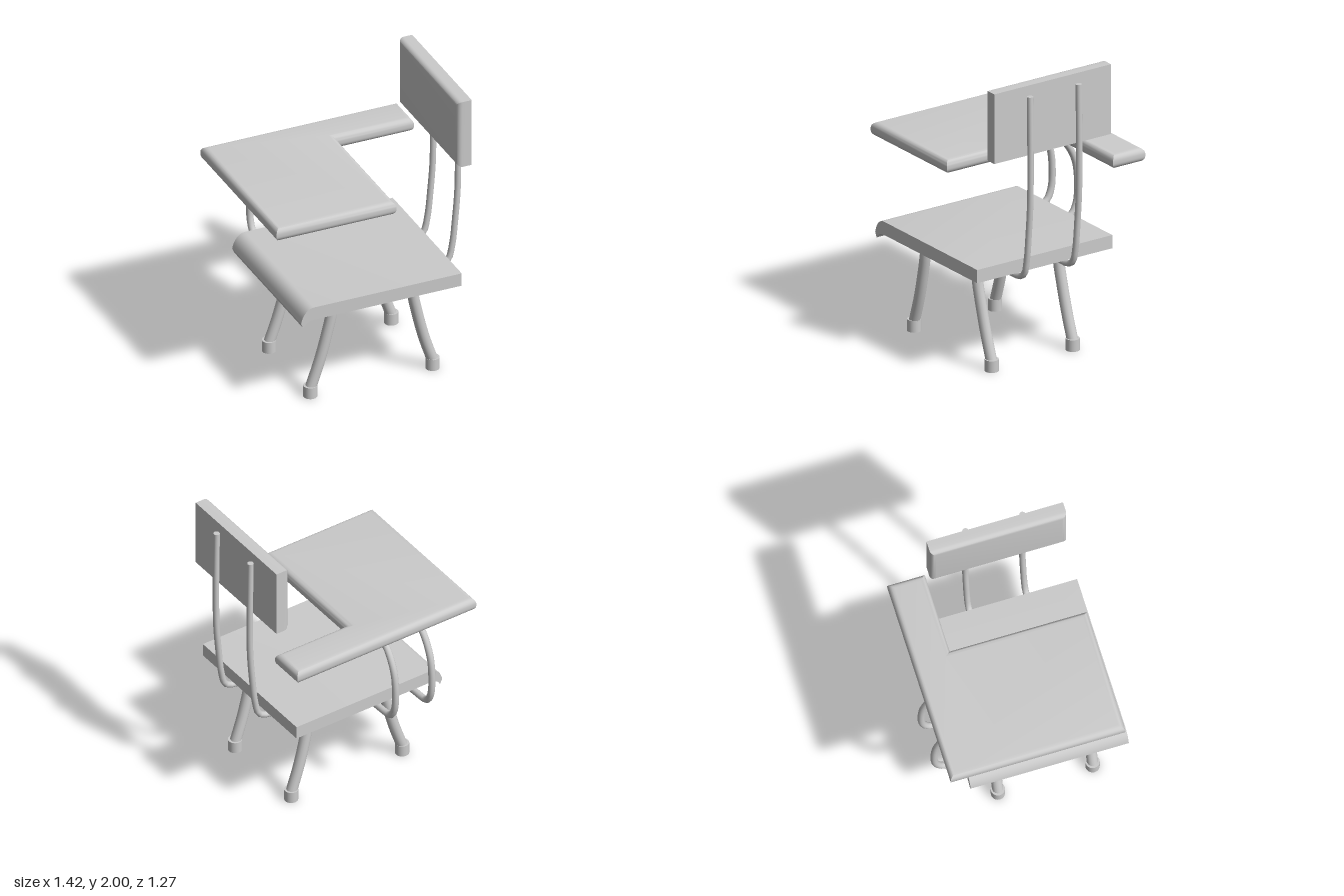
import * as THREE from 'three';
import { toCreasedNormals } from 'three/addons/utils/BufferGeometryUtils.js';

const material = new THREE.MeshStandardMaterial({ color: 0xcccccc });

function part(parent, name, geometry) {
  const mesh = new THREE.Mesh(geometry, material);
  mesh.name = name;
  parent.add(mesh);
  return mesh;
}

// Round bar along a smooth path, closed by a disc at each end
function bar(name, points, radius, segments = 28) {
  const group = new THREE.Group();
  group.name = name;
  const curve = new THREE.CatmullRomCurve3(points.map(p => new THREE.Vector3(...p)), false, 'centripetal');
  part(group, name + 'Tube', new THREE.TubeGeometry(curve, segments, radius, 14));
  for (const t of [0, 1]) {
    const cap = part(group, name + 'Cap', new THREE.CircleGeometry(radius, 14));
    cap.position.copy(curve.getPoint(t));
    const outward = curve.getTangent(t).multiplyScalar(t ? 1 : -1);
    cap.quaternion.setFromUnitVectors(new THREE.Vector3(0, 0, 1), outward);
  }
  return group;
}

function polygon(points) {
  return new THREE.Shape(points.map(p => new THREE.Vector2(...p)));
}

// Slab whose edges are rounded inward from its outline
function roundedSlab(shape, thickness, r) {
  return new THREE.ExtrudeGeometry(shape, {
    depth: thickness - 2 * r, bevelEnabled: true, bevelThickness: r,
    bevelSize: r, bevelOffset: -r, bevelSegments: 6,
  });
}

export function createModel() {
  const model = new THREE.Group();
  model.name = 'deskChair';

  // Seat with a front lip that curls down
  const profile = new THREE.Shape();
  profile.moveTo(0.56, 0.682);
  profile.lineTo(0.56, 0.773);
  profile.lineTo(-0.48, 0.773);
  profile.bezierCurveTo(-0.53, 0.77, -0.56, 0.73, -0.572, 0.672);
  profile.lineTo(-0.557, 0.638);
  profile.quadraticCurveTo(-0.53, 0.682, -0.48, 0.682);
  const seat = new THREE.ExtrudeGeometry(profile, { depth: 1.06, bevelEnabled: false, curveSegments: 10 });
  part(model, 'seat', toCreasedNormals(seat, 0.6)).position.z = -0.425;

  // L-shaped writing top with an arm rest
  const outline = polygon([
    [-0.715, -0.603], [0.675, -0.603], [0.675, -0.35],
    [0.13, -0.35], [0.13, 0.57], [-0.715, 0.57],
  ]);
  const top = roundedSlab(outline, 0.097, 0.04);
  top.rotateX(Math.PI / 2);
  part(model, 'writingTop', toCreasedNormals(top, 0.6)).position.y = 1.33;

  // Back rest: rounded towards the sitter, square at the rear
  const w = 0.4575, h = 0.24, r = 0.035, depth = 0.1;
  const rest = roundedSlab(polygon([[-w, -h], [w, -h], [w, h], [-w, h]]), depth, r);
  const pos = rest.attributes.position;
  for (let i = 0; i < pos.count; i++) {
    if (pos.getZ(i) < 0.01) {
      pos.setX(i, Math.sign(pos.getX(i)) * w);
      pos.setY(i, Math.sign(pos.getY(i)) * h);
    }
  }
  rest.rotateY(-Math.PI / 2);
  part(model, 'backRest', toCreasedNormals(rest, 0.6)).position.set(0.66 - r, 1.76, 0.1135);

  // Two bent posts carrying the back rest
  for (const z of [0.305, -0.077]) {
    model.add(bar('backPost', [
      [0.245, 0.655, z], [0.42, 0.655, z], [0.56, 0.657, z], [0.615, 0.69, z], [0.645, 0.8, z],
      [0.665, 0.98, z], [0.682, 1.2, z], [0.685, 1.5, z], [0.683, 1.7, z], [0.679, 1.93, z],
    ], 0.021, 40));
  }

  // Two hooped bars carrying the writing top
  for (const x of [-0.366, -0.084]) {
    model.add(bar('topSupport', [
      [x, 1.25, -0.08], [x, 1.243, -0.25], [x, 1.234, -0.42], [x, 1.195, -0.5], [x, 1.05, -0.586],
      [x, 0.87, -0.608], [x, 0.74, -0.594], [x, 0.672, -0.55], [x, 0.656, -0.44], [x, 0.656, -0.18],
    ], 0.023, 36));
  }

  // Four splayed legs, each with a round foot
  for (const side of [-1, 1]) {
    for (const z of [0.452, -0.183]) {
      const at = (dx, y, dz) => [0.0135 + side * dx, y, z + dz];
      model.add(bar('leg', [
        at(0.283, 0.69, 0), at(0.285, 0.6, -0.001), at(0.325, 0.41, -0.006),
        at(0.37, 0.24, -0.01), at(0.43, 0.06, -0.013),
      ], 0.037, 16));
      const foot = part(model, 'foot', new THREE.CylinderGeometry(0.046, 0.046, 0.08, 20));
      foot.position.set(...at(0.431, 0.04, -0.013));
    }
  }
  return model;
}
